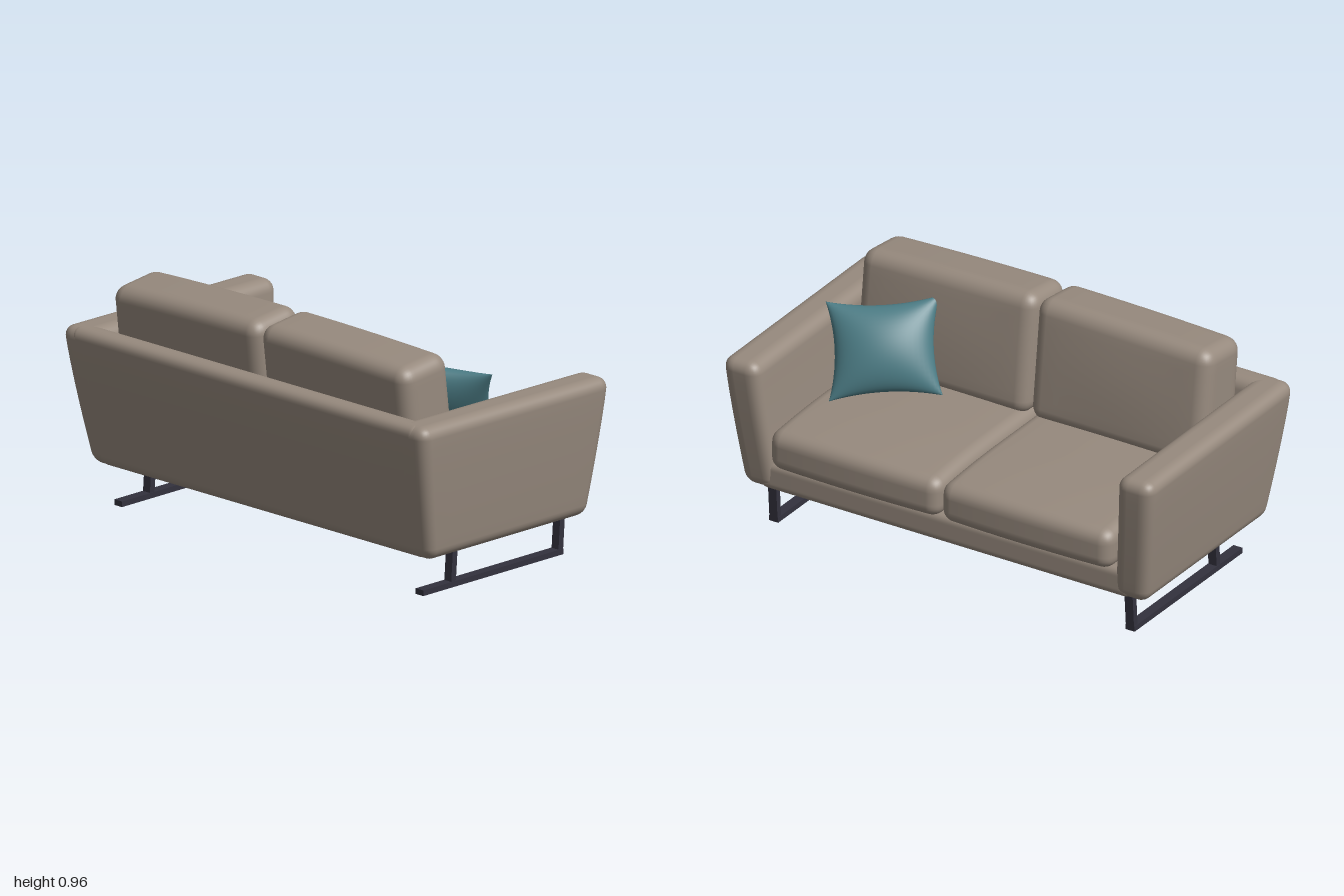
import * as THREE from 'three';
import { mergeVertices } from 'three/addons/utils/BufferGeometryUtils.js';

const fabric = new THREE.MeshStandardMaterial({ color: 0x978a7e });
fabric.name = 'taupe fabric';
const teal = new THREE.MeshStandardMaterial({ color: 0x4c7c85 });
teal.name = 'teal fabric';
const metal = new THREE.MeshStandardMaterial({ color: 0x33323e });
metal.name = 'dark metal';

// Move every vertex by a rule, then weld and smooth the normals
function reshape(geometry, rule) {
  const p = geometry.attributes.position;
  const v = new THREE.Vector3();
  for (let i = 0; i < p.count; i++) {
    v.fromBufferAttribute(p, i);
    rule(v);
    p.setXYZ(i, v.x, v.y, v.z);
  }
  geometry.deleteAttribute('normal');
  geometry.deleteAttribute('uv');
  const welded = mergeVertices(geometry, 1e-5);
  welded.computeVertexNormals();
  return welded;
}

// Rounded box between two corners, subdivided so that it can be bent by a rule
function softBox(min, max, r, rule = () => {}) {
  const EDGE = 4, N = 18;
  const lo = new THREE.Vector3(...min), hi = new THREE.Vector3(...max);
  const half = hi.clone().sub(lo).multiplyScalar(0.5);
  const centre = lo.clone().add(hi).multiplyScalar(0.5);
  const inner = half.clone().subScalar(r);
  const q = new THREE.Vector3();
  // Grid step to position: EDGE steps across each rounded edge, the rest between
  const place = (u, h) => {
    const k = Math.round((u + 0.5) * N);
    if (k < EDGE) return -h + (r * k) / EDGE;
    if (k > N - EDGE) return h - (r * (N - k)) / EDGE;
    return (h - r) * ((2 * (k - EDGE)) / (N - 2 * EDGE) - 1);
  };
  return reshape(new THREE.BoxGeometry(1, 1, 1, N, N, N), (v) => {
    v.set(place(v.x, half.x), place(v.y, half.y), place(v.z, half.z));
    q.copy(v).clamp(inner.clone().negate(), inner);
    v.sub(q).normalize().multiplyScalar(r).add(q).add(centre);
    rule(v);
  });
}

// The shell narrows towards the floor on all sides
function taper(v) {
  const t = Math.pow(Math.max(0, (0.74 - v.y) / 0.575), 1.2);
  const f = (v.x + 0.525) / 1.05;
  const top = (v.y - 0.165) / 0.575;
  v.x += (1 - f) * 0.105 * t - f * 0.065 * t;
  v.z *= 1 - 0.065 * t;
  v.y -= 0.008 * f * top;
}

// Seat: crowned top, bulging front that drops at the edge
function plumpSeat(v) {
  const t = (v.y - 0.285) / 0.185;
  const f = Math.max(0, (v.x - 0.1) / 0.4);
  const across = 1 - Math.pow((Math.abs(v.z) - 0.395) / 0.395, 2);
  v.y += t * (0.008 * across - 0.02 * f * f);
  v.x += f * 0.012 * across;
}

// Back cushion: leans back, top slopes to the rear and to the outside
function leanBack(v) {
  const t = (v.y - 0.45) / 0.505;
  const z = Math.abs(v.z) / 0.81;
  const bulge = Math.sin(Math.PI * z) * Math.sin(Math.PI * Math.min(1, Math.max(0, t)));
  const front = (v.x + 0.44) / 0.26;
  v.y += t * (0.12 * (v.x + 0.26) - 0.018 * z * z);
  v.x += (0.9 - v.y) * 0.12 + 0.012 * bulge * front;
}

// Throw pillow: pinched square set on two slanted axes
function pillowGeometry() {
  const u = new THREE.Vector3(0.112, -0.019, 0.192);
  const w = new THREE.Vector3(-0.078, 0.169, 0.058);
  const n = u.clone().cross(w).normalize().multiplyScalar(0.085);
  return reshape(new THREE.BoxGeometry(2, 2, 2, 24, 24, 1), (v) => {
    const a = Math.sin((v.x * Math.PI) / 2), b = Math.sin((v.y * Math.PI) / 2);
    const thick = v.z * Math.pow(Math.max(0, (1 - a * a) * (1 - b * b)), 0.55);
    const pa = a * (1 - 0.13 * (1 - b * b)), pb = b * (1 - 0.13 * (1 - a * a));
    v.set(0.005, 0.66, 0.573).addScaledVector(u, pa).addScaledVector(w, pb).addScaledVector(n, thick);
  });
}

export function createModel() {
  const model = new THREE.Group();
  model.name = 'sofa';
  const add = (name, geometry, material, parent = model) => {
    const mesh = new THREE.Mesh(geometry, material);
    mesh.name = name;
    parent.add(mesh);
    return mesh;
  };

  // Upholstered shell
  add('backPanel', softBox([-0.525, 0.165, -0.96], [-0.41, 0.74, 0.96], 0.045, taper), fabric);
  add('base', softBox([-0.41, 0.166, -0.86], [0.462, 0.29, 0.86], 0.03), fabric);

  for (const [side, s] of [['left', -1], ['right', 1]]) {
    // Box between z = a and z = b, on this side of the sofa
    const sideBox = (x0, x1, y0, y1, a, b, r, rule) =>
      softBox([x0, y0, Math.min(s * a, s * b)], [x1, y1, Math.max(s * a, s * b)], r, rule);

    add(side + 'Arm', sideBox(-0.525, 0.527, 0.165, 0.74, 0.835, 1, 0.05, taper), fabric);
    add(side + 'SeatCushion', sideBox(-0.32, 0.505, 0.285, 0.47, 0.002, 0.795, 0.055, plumpSeat), fabric);
    add(side + 'BackCushion', sideBox(-0.44, -0.18, 0.45, 0.955, 0.002, 0.812, 0.06, leanBack), fabric);

    // Sled leg: a floor runner with two slightly leaning posts
    const leg = new THREE.Group();
    leg.name = side + 'SledLeg';
    leg.position.z = s * 0.828;
    model.add(leg);
    const runner = add('runner', new THREE.BoxGeometry(0.775, 0.023, 0.042), metal, leg);
    runner.position.set(0.0175, 0.0115, 0);
    for (const [name, x] of [['frontPost', 0.392], ['rearPost', -0.202]]) {
      const post = new THREE.BoxGeometry(0.026, 0.19, 0.038);
      const p = post.attributes.position;
      for (let i = 0; i < p.count; i++) if (p.getY(i) > 0) p.setX(i, p.getX(i) + 0.014);
      post.computeVertexNormals();
      add(name, post, metal, leg).position.set(x, 0.097, 0);
    }
  }

  add('throwPillow', pillowGeometry(), teal);
  return model;
}
